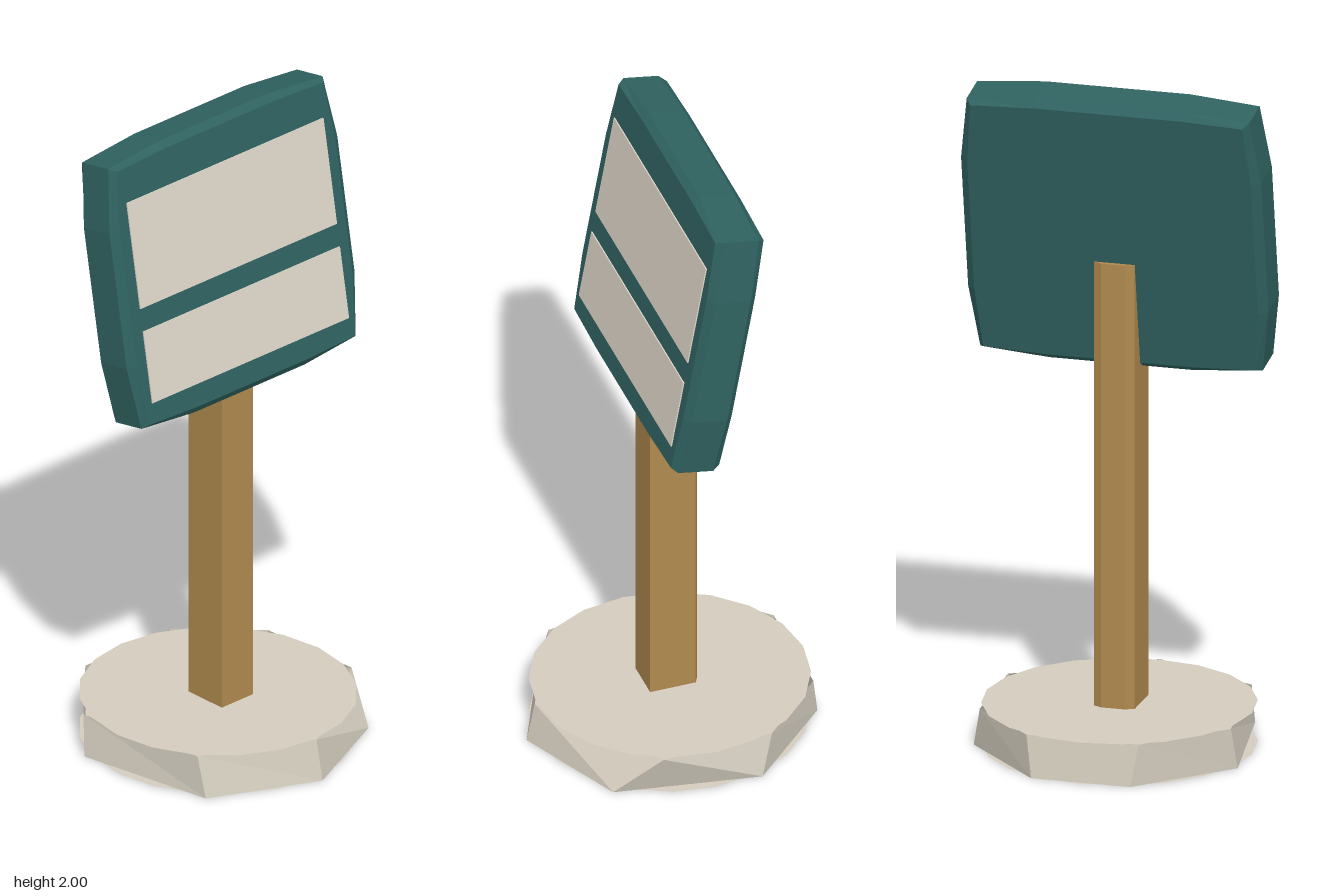
import * as THREE from 'three';

const mat = (name, color, side = THREE.FrontSide) => {
  const m = new THREE.MeshStandardMaterial({ color, side });
  m.name = name;
  return m;
};

// Flat-shaded skin through closed rings of points; capped at both ends if asked.
// Rings run anticlockwise seen from the last ring's side.
function loft(rings, capped) {
  const pos = [];
  const tri = (a, b, c) => pos.push(...a, ...b, ...c);
  const n = rings[0].length;
  for (let r = 0; r + 1 < rings.length; r++) {
    for (let i = 0; i < n; i++) {
      const j = (i + 1) % n, lo = rings[r], hi = rings[r + 1];
      tri(lo[i], lo[j], hi[i]);
      tri(lo[j], hi[j], hi[i]);
    }
  }
  if (capped) {
    const first = rings[0], last = rings[rings.length - 1];
    for (let i = 1; i + 1 < n; i++) {
      tri(first[0], first[i + 1], first[i]);
      tri(last[0], last[i], last[i + 1]);
    }
  }
  const g = new THREE.BufferGeometry();
  g.setAttribute('position', new THREE.Float32BufferAttribute(pos, 3));
  g.computeVertexNormals();
  return g;
}

export function createModel() {
  const model = new THREE.Group();
  model.name = 'signPost';
  const stone = mat('stone', 0xd3ccbe, THREE.DoubleSide);
  const wood = mat('wood', 0xb08a4e);
  const teal = mat('teal', 0x2f6260);
  const cream = mat('cream', 0xddd5c8);
  const add = (parent, name, geometry, material) => {
    const mesh = new THREE.Mesh(geometry, material);
    mesh.name = name;
    parent.add(mesh);
    return mesh;
  };

  // Base: two round slabs faces with a coarse, chipped seven-sided rim
  const base = new THREE.Group();
  base.name = 'base';
  model.add(base);
  const H = 0.125;
  for (const [name, y, turn] of [['baseTop', H, -1], ['baseBottom', 0, 1]]) {
    const disc = add(base, name, new THREE.CircleGeometry(0.412, 20), stone);
    disc.rotation.x = turn * Math.PI / 2;
    disc.position.set(0, y, -0.018);
    disc.scale.x = 0.975;
  }
  const rimLow = [[0, 0.425], [0.325, 0.275], [0.4, -0.16], [0.15, -0.42],
    [-0.15, -0.42], [-0.4, -0.16], [-0.325, 0.275]];
  const rimHigh = [[0, 0.4], [0.385, 0.14], [0.37, -0.2], [0.17, -0.4],
    [-0.17, -0.4], [-0.385, -0.18], [-0.325, 0.24]];
  add(base, 'baseRim', loft([
    rimLow.map(([x, z]) => [x, 0, z]),
    rimHigh.map(([x, z]) => [x, H, z]),
  ], false), stone);

  // Post: square in front, slightly bevelled at the back
  const s = new THREE.Shape([[-0.063, -0.065], [0.061, -0.065], [0.061, 0.076],
    [0.035, 0.09], [-0.037, 0.09], [-0.063, 0.076]].map((p) => new THREE.Vector2(...p)));
  const postGeometry = new THREE.ExtrudeGeometry(s, { depth: 1.38, bevelEnabled: false });
  postGeometry.rotateX(-Math.PI / 2);
  add(model, 'post', postGeometry, wood).position.y = 0.1;

  // Board: bulging slab leaning back
  const board = new THREE.Group();
  board.name = 'board';
  board.position.set(0, 1.575, -0.015);
  board.rotation.x = -THREE.MathUtils.degToRad(10);
  model.add(board);
  // Ring with corners (cx, cy) and edges bowing out to (bx, by)
  const ring = (cx, cy, bx, by, z) => [
    [cx, -cy], [bx, -0.21], [bx, 0.21], [cx, cy], [0.22, by], [-0.22, by],
    [-cx, cy], [-bx, 0.21], [-bx, -0.21], [-cx, -cy], [-0.22, -by], [0.22, -by],
  ].map(([x, y]) => [x, y, z]);
  add(board, 'boardBody', loft([
    ring(0.412, 0.395, 0.43, 0.403, -0.076),
    ring(0.428, 0.405, 0.455, 0.424, -0.053),
    ring(0.428, 0.405, 0.455, 0.424, 0.057),
    ring(0.412, 0.395, 0.43, 0.403, 0.076),
  ], true), teal);

  // Two pale plates on the front of the board
  for (const [name, y0, y1] of [['upperPlate', -0.039, 0.291], ['lowerPlate', -0.333, -0.11]]) {
    const plate = add(board, name, new THREE.BoxGeometry(0.785, y1 - y0, 0.006), cream);
    plate.position.set(0, (y0 + y1) / 2, 0.077);
  }
  return model;
}
